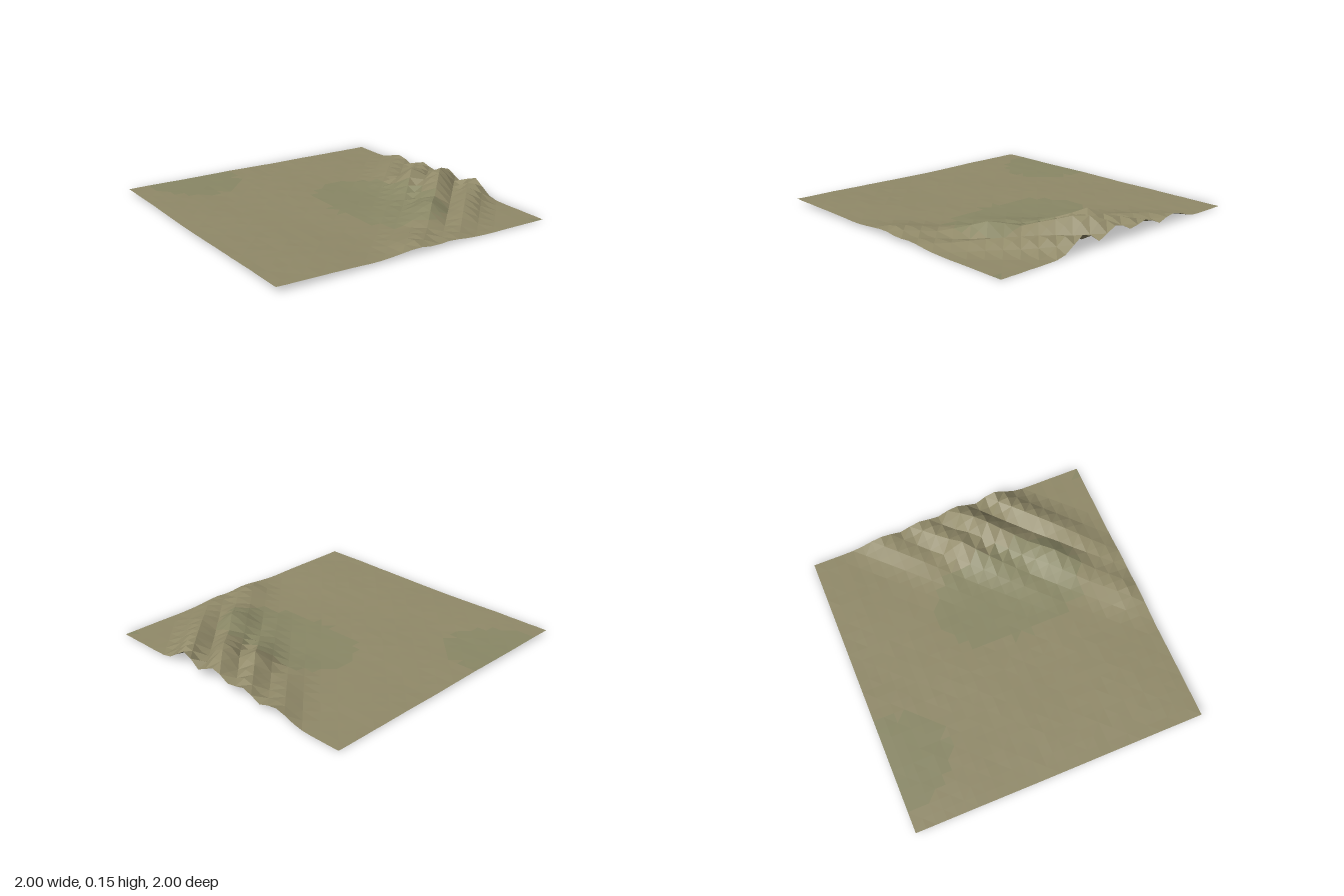
import * as THREE from 'three';

const SEGMENTS = 28;

// Ridge crests as [x, z, height above ground], with crest widths on the back-left and front-right sides
const ridges = [
  { back: 0.14, front: 0.1, pts: [[-0.1, 1.02, 0.02], [0, 0.92, 0.045], [0.2, 0.76, 0.035], [0.42, 0.56, 0.1],
    [0.57, 0.42, 0.075], [0.7, 0.29, 0.115], [0.83, 0.17, 0.152], [0.93, 0.1, 0.12], [1.05, 0.02, 0.08]] },
  { back: 0.1, front: 0.09, pts: [[0.2, 0.98, 0.02], [0.4, 0.84, 0.03], [0.55, 0.74, 0.05], [0.73, 0.57, 0.075],
    [0.87, 0.45, 0.09], [1.05, 0.31, 0.11]] },
  { back: 0.11, front: 0.1, pts: [[0.2, 0.42, 0.012], [0.45, 0.24, 0.035], [0.6, 0.1, 0.075], [0.72, 0, 0.13],
    [0.82, -0.07, 0.09], [1.05, -0.25, 0.07]] },
  { back: 0.12, front: 0.11, pts: [[0.55, -0.15, 0.015], [0.75, -0.28, 0.035], [0.92, -0.43, 0.05], [1.05, -0.52, 0.06]] },
];

// Height added by one ridge: a bell-shaped section along the crest line
function ridgeHeight(ridge, x, z) {
  let best = 0;
  for (let i = 0; i + 1 < ridge.pts.length; i++) {
    const [ax, az, ah] = ridge.pts[i];
    const [bx, bz, bh] = ridge.pts[i + 1];
    const dx = bx - ax, dz = bz - az;
    const t = THREE.MathUtils.clamp(((x - ax) * dx + (z - az) * dz) / (dx * dx + dz * dz), 0, 1);
    const ox = x - ax - t * dx, oz = z - az - t * dz;
    const width = ox + oz > 0 ? ridge.front : ridge.back;
    best = Math.max(best, THREE.MathUtils.lerp(ah, bh, t) * Math.exp(-(ox * ox + oz * oz) / (width * width)));
  }
  return best;
}

const hash = (i, j) => {
  const s = Math.sin(i * 127.1 + j * 311.7) * 43758.5453;
  return s - Math.floor(s);
};

function height(x, z) {
  const plain = 0.014 - 0.009 * x;
  const frontLeft = 0.014 * THREE.MathUtils.smoothstep(-x, 0, 0.9) * THREE.MathUtils.smoothstep(z, 0, 0.8);
  const ripple = 0.002 * Math.sin(7 * x + 3 * z) * Math.sin(5 * z - 2 * x);
  return Math.max(0, plain + frontLeft + ripple + Math.max(...ridges.map((r) => ridgeHeight(r, x, z))));
}

export function createModel() {
  const group = new THREE.Group();
  group.name = 'terrain';

  // Height grid, with slight roughness at each corner
  const corner = (i, j) => {
    const x = -1 + (2 * i) / SEGMENTS, z = -1 + (2 * j) / SEGMENTS;
    const h = height(x, z);
    return new THREE.Vector3(x, Math.max(0, h + (hash(i, j) - 0.5) * (0.002 + 0.06 * Math.max(0, h - 0.03))), z);
  };

  // Sort the facets into dry ground, grass and steep rock
  const facets = { dryGround: [], grass: [], rock: [] };
  const normal = new THREE.Vector3();
  const addFacet = (a, b, c) => {
    new THREE.Triangle(a, b, c).getNormal(normal);
    const x = (a.x + b.x + c.x) / 3, z = (a.z + b.z + c.z) / 3;
    const patch = Math.sin(3.1 * x - 2 * z + 1) + Math.sin(2.3 * z + 4 * x) * 0.7;
    const kind = normal.y < 0.62 ? 'rock' : patch > 0.75 ? 'grass' : 'dryGround';
    for (const p of [a, b, c]) facets[kind].push(p.x, p.y, p.z);
  };
  for (let i = 0; i < SEGMENTS; i++) {
    for (let j = 0; j < SEGMENTS; j++) {
      const a = corner(i, j), b = corner(i, j + 1), c = corner(i + 1, j + 1), d = corner(i + 1, j);
      // The diagonal alternates from cell to cell
      if ((i + j) % 2) {
        addFacet(a, b, d);
        addFacet(b, c, d);
      } else {
        addFacet(a, b, c);
        addFacet(a, c, d);
      }
    }
  }

  // One open sheet per ground type
  const colors = { dryGround: 0x918a69, grass: 0x8a8866, rock: 0x7d7f88 };
  for (const [name, positions] of Object.entries(facets)) {
    if (!positions.length) continue;
    const geometry = new THREE.BufferGeometry();
    geometry.setAttribute('position', new THREE.Float32BufferAttribute(positions, 3));
    geometry.computeVertexNormals();
    const material = new THREE.MeshStandardMaterial({ color: colors[name], flatShading: true, side: THREE.DoubleSide });
    const mesh = new THREE.Mesh(geometry, material);
    mesh.name = name;
    group.add(mesh);
  }
  return group;
}
